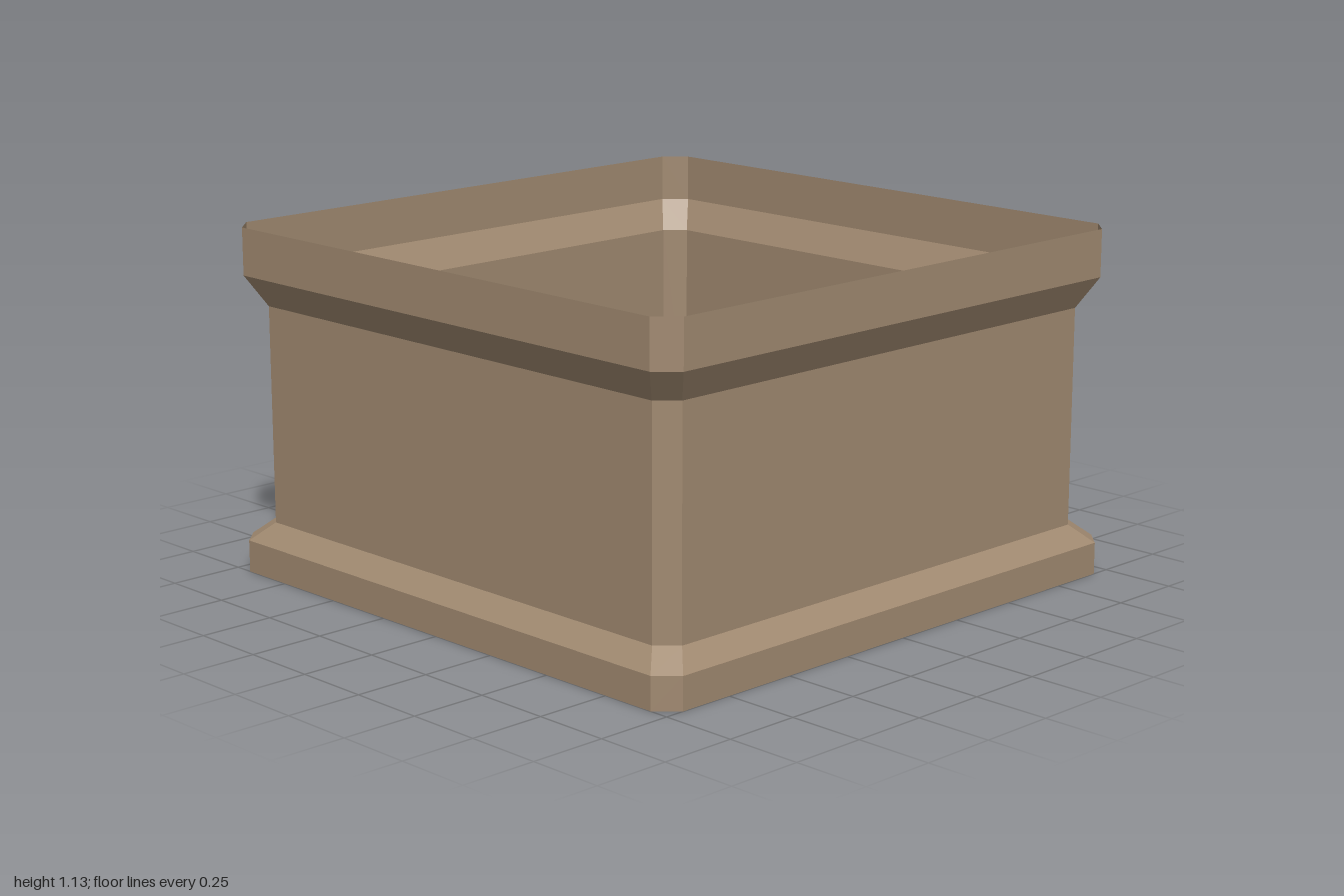
import * as THREE from 'three';

// Square ring with cut corners: h = half width, c = half length of the straight side
function ring([y, h, c]) {
  return [[c, h], [h, c], [h, -c], [c, -h], [-c, -h], [-h, -c], [-h, c], [-c, h]]
    .map(([x, z]) => [x, y, z]);
}

// Open flat-shaded band joining successive rings, from bottom to top
function band(name, levels, material) {
  const rings = levels.map(ring);
  const positions = [];
  for (let i = 0; i < rings.length - 1; i++) {
    for (let j = 0; j < 8; j++) {
      const k = (j + 1) % 8;
      const a = rings[i][j], b = rings[i][k], c = rings[i + 1][k], d = rings[i + 1][j];
      positions.push(...a, ...b, ...c, ...a, ...c, ...d);
    }
  }
  const geometry = new THREE.BufferGeometry();
  geometry.setAttribute('position', new THREE.Float32BufferAttribute(positions, 3));
  geometry.computeVertexNormals();
  const mesh = new THREE.Mesh(geometry, material);
  mesh.name = name;
  return mesh;
}

export function createModel() {
  const stone = new THREE.MeshStandardMaterial({
    color: 0xa08970, side: THREE.DoubleSide, flatShading: true,
  });
  stone.name = 'brown stone';

  const group = new THREE.Group();
  group.name = 'squareCollar';

  // Levels are [height, half width, half straight side]
  const foot = [0.105, 1, 0.935];
  const wallBottom = [0.165, 0.935, 0.875];
  const wallTop = [0.88, 0.935, 0.875];
  const lip = [0.98, 0.992, 0.926];

  group.add(
    band('basePlinth', [[0, 1, 0.935], foot, wallBottom], stone),
    band('walls', [wallBottom, wallTop], stone),
    band('flaredRim', [wallTop, lip, [1.135, 0.992, 0.926]], stone),
  );
  return group;
}
